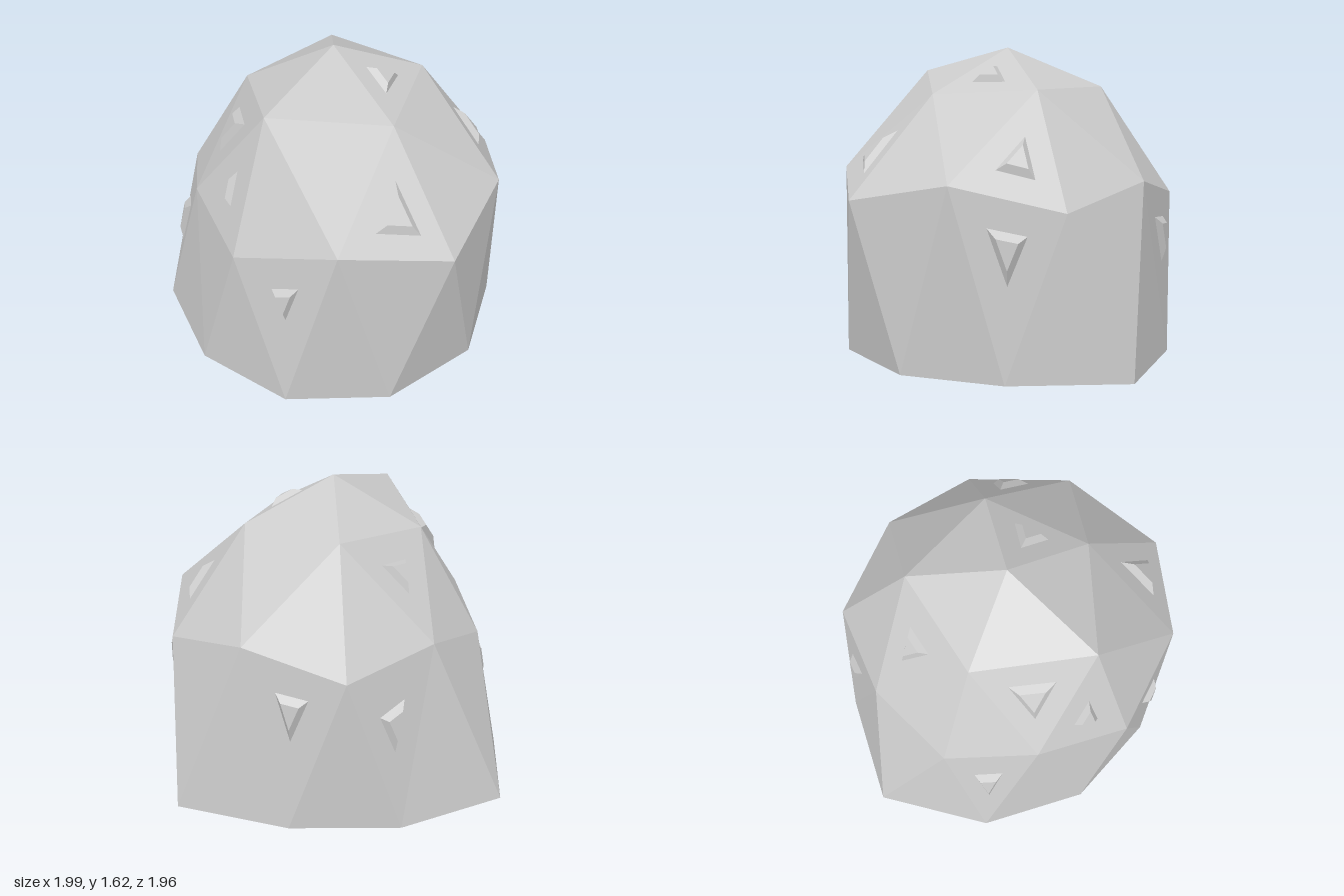
import * as THREE from 'three';

const V = (p) => new THREE.Vector3(...p);
const material = new THREE.MeshStandardMaterial({ color: 0xcccccc, flatShading: true });

// Faceted mesh from a list of triangles (each three Vector3, counter-clockwise)
function facetMesh(name, tris) {
  const geo = new THREE.BufferGeometry().setFromPoints(tris.flat());
  geo.computeVertexNormals();
  const mesh = new THREE.Mesh(geo, material);
  mesh.name = name;
  return mesh;
}

// Irregular geodesic dome: apex, ring of 5, ring of 10, base ring of 10
function makeDome() {
  const apex = V([0.02, 1.62, 0.08]);
  const upper = [[0.5, 1.38, 0.08], [0.2, 1.49, 0.63], [-0.36, 1.37, 0.36],
    [-0.39, 1.41, -0.22], [0.17, 1.41, -0.39]].map(V);
  const middle = [[0.99, 0.86, 0.09], [0.74, 0.97, 0.61], [0.28, 0.83, 0.9], [-0.21, 0.92, 0.8],
    [-0.63, 0.81, 0.55], [-0.77, 0.92, 0.08], [-0.71, 0.83, -0.44], [-0.25, 0.95, -0.73],
    [0.29, 0.84, -0.79], [0.74, 0.97, -0.44]].map(V);
  const base = [[0.87, 0.37], [0.55, 0.81], [0.02, 0.975], [-0.55, 0.84], [-1, 0.4],
    [-0.87, -0.2], [-0.51, -0.65], [0.02, -0.98], [0.55, -0.64], [0.87, -0.19]]
    .map(([x, z]) => V([x, 0.005, z]));
  const foot = V([0, 0, 0]);

  const tris = [];
  const add = (a, b, c) => tris.push([a, c, b]);
  for (let i = 0; i < 5; i++) {
    const a = upper[i], b = upper[(i + 1) % 5];
    const m0 = middle[(2 * i + 9) % 10], m1 = middle[2 * i], m2 = middle[2 * i + 1];
    add(apex, a, b);
    add(a, m0, m1);
    add(a, m1, m2);
    add(a, m2, b);
  }
  for (let j = 0; j < 10; j++) {
    const next = (j + 1) % 10, prev = (j + 9) % 10;
    add(middle[j], base[j], middle[next]);
    add(middle[j], base[prev], base[j]);
    add(foot, base[next], base[j]);
  }
  return facetMesh('dome', tris);
}

// Ray towards the dome from one side, through a 2D position on that side
const rays = {
  front: (x, y) => [[x, y, 5], [0, 0, -1]],
  back: (x, y) => [[x, y, -5], [0, 0, 1]],
  right: (z, y) => [[5, y, z], [-1, 0, 0]],
  left: (z, y) => [[-5, y, z], [1, 0, 0]],
  top: (x, z) => [[x, 5, z], [0, -1, 0]],
};

// Small raised triangle with sloping sides, lying on the facet under its middle
function makeStud(dome, side, corners, height = 0.03, inset = 0.55) {
  const ray = (u, v) => new THREE.Ray(...rays[side](u, v).map(V));
  const mid = [0, 1].map((k) => (corners[0][k] + corners[1][k] + corners[2][k]) / 3);
  const r = ray(...mid);
  const hit = new THREE.Raycaster(r.origin, r.direction).intersectObject(dome)[0];
  const normal = hit.face.normal;
  const plane = new THREE.Plane().setFromNormalAndCoplanarPoint(normal, hit.point);
  const low = corners.map(([u, v]) => ray(u, v).intersectPlane(plane, new THREE.Vector3()));
  const turn = low[1].clone().sub(low[0]).cross(low[2].clone().sub(low[0]));
  if (turn.dot(normal) < 0) low.reverse();
  const high = low.map((p) => hit.point.clone().lerp(p, inset).addScaledVector(normal, height));
  const tris = [high];
  for (let i = 0; i < 3; i++) {
    const n = (i + 1) % 3;
    tris.push([low[i], low[n], high[n]], [low[i], high[n], high[i]]);
  }
  return facetMesh('stud', tris);
}

export function createModel() {
  const group = new THREE.Group();
  group.name = 'studdedDome';
  const dome = makeDome();
  group.add(dome);

  // Studs scattered over the facets
  const studs = new THREE.Group();
  studs.name = 'studs';
  [
    ['front', [[-0.22, 1.3], [-0.01, 1.34], [-0.16, 1.13]]],
    ['front', [[0.11, 1.18], [0.01, 1.04], [0.135, 1.015]]],
    ['front', [[-0.52, 0.64], [-0.39, 0.68], [-0.485, 0.4]]],
    ['front', [[0.46, 0.7], [0.58, 0.74], [0.53, 0.53]]],
    ['top', [[0.65, 0.19], [0.85, 0.19], [0.75, 0.39]]],
    ['top', [[0.22, -0.18], [0.16, -0.02], [0.32, -0.02]]],
    ['top', [[0.36, -0.63], [0.32, -0.49], [0.51, -0.51]]],
    ['top', [[-0.59, 0.07], [-0.48, -0.02], [-0.47, 0.15]]],
    ['right', [[-0.56, 0.77], [-0.68, 0.73], [-0.63, 0.49]]],
    ['back', [[-0.41, 0.74], [-0.555, 0.72], [-0.49, 0.49]]],
    ['left', [[-0.27, 0.62], [-0.12, 0.68], [-0.2, 0.42]]],
  ].forEach(([side, corners]) => studs.add(makeStud(dome, side, corners)));
  group.add(studs);
  return group;
}
